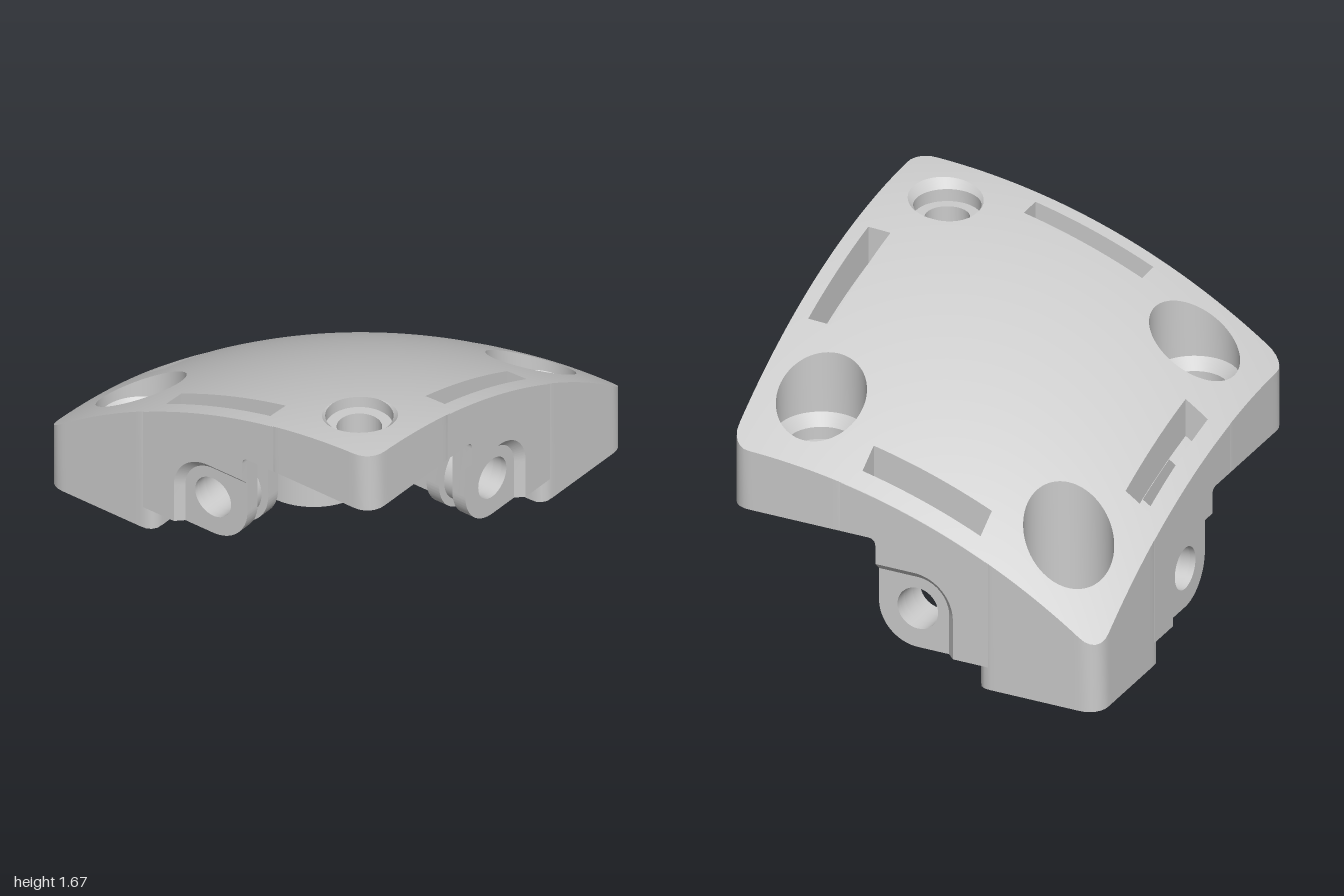
import * as THREE from 'three';
import { toCreasedNormals } from 'three/addons/utils/BufferGeometryUtils.js';

const R = 3.3, STEP = 0.675, SKIN = 0.14, N = 96;
const drop = d => R - Math.sqrt(R * R - d * d);
const slope = d => d / Math.sqrt(R * R - d * d);
// doubly curved top, highest at the front right corner
const surf = (x, z) => 1.67 - drop(x + 1) - drop(1 - z);

const mat = new THREE.MeshStandardMaterial({ color: 0xcccccc });
const matDouble = new THREE.MeshStandardMaterial({ color: 0xcccccc, side: THREE.DoubleSide });

function add(parent, name, geo, material = mat) {
  const mesh = new THREE.Mesh(geo, material);
  mesh.name = name;
  parent.add(mesh);
  return mesh;
}

// move every vertex by a rule, then keep hard edges sharp
function reshape(geo, rule) {
  const p = geo.attributes.position;
  for (let i = 0; i < p.count; i++) p.setXYZ(i, ...rule(p.getX(i), p.getY(i), p.getZ(i)));
  return toCreasedNormals(geo, 0.5);
}

// closed rings of [x, y, z] joined into a surface
function loft(rings, flip = false) {
  const idx = [];
  for (let r = 0; r < rings.length - 1; r++) {
    for (let i = 0; i < N; i++) {
      const j = (i + 1) % N, a = r * N + i, b = r * N + j, c = a + N, d = b + N;
      if (flip) idx.push(a, c, b, c, d, b);
      else idx.push(a, b, c, c, b, d);
    }
  }
  const geo = new THREE.BufferGeometry();
  geo.setAttribute('position', new THREE.Float32BufferAttribute(rings.flat(2), 3));
  geo.setIndex(idx);
  geo.computeVertexNormals();
  return geo;
}

// point lists [x, z] sampled by angle
const angles = Array.from({ length: N }, (_, i) => (i / N) * Math.PI * 2);
const round = (cx, cz, radiusAt) => angles.map(t =>
  [cx + radiusAt(t) * Math.cos(t), cz + radiusAt(t) * Math.sin(t)]);
function rect(cx, cz, hx, hz, radiusAt = () => 0) {
  return angles.map(t => {
    const c = Math.cos(t), s = Math.sin(t), m = Math.max(Math.abs(c), Math.abs(s));
    let x = c / m * hx, z = s / m * hz;
    const r = radiusAt(x, z), dx = Math.abs(x) - hx + r, dz = Math.abs(z) - hz + r;
    if (r > 0 && dx > 0 && dz > 0) {
      const k = r / Math.hypot(dx, dz);
      x = Math.sign(x) * (hx - r + dx * k);
      z = Math.sign(z) * (hz - r + dz * k);
    }
    return [cx + x, cz + z];
  });
}
const lay = (pts, off = 0) => pts.map(([x, z]) => [x, surf(x, z) - off, z]);

// curved sheet between two outlines
function sheet(inner, outer, off, flip) {
  const rings = [];
  for (let k = 0; k <= 8; k++) {
    rings.push(lay(inner.map(([x, z], i) =>
      [x + (outer[i][0] - x) * k / 8, z + (outer[i][1] - z) * k / 8]), off));
  }
  const geo = loft(rings, flip), p = geo.attributes.position, s = flip ? -1 : 1;
  for (let i = 0; i < p.count; i++) {
    const n = new THREE.Vector3(slope(p.getX(i) + 1), 1, -slope(1 - p.getZ(i))).normalize().multiplyScalar(s);
    geo.attributes.normal.setXYZ(i, n.x, n.y, n.z);
  }
  return geo;
}

function corner(parent, sx, sz) {
  const g = new THREE.Group();
  g.name = 'corner';
  parent.add(g);
  const cx = 0.67 * sx, cz = 0.67 * sz;
  const base = 1.67 - STEP * ((sx > 0) + (sz < 0));
  const outward = (x, z) => x * sx > 0 && z * sz > 0;
  const inward = (x, z) => x * sx < 0 && z * sz < 0;
  // where the conical seat meets the skin
  const rim = t => {
    let r = 0.2;
    for (let i = 0; i < 8; i++) {
      const h = surf(cx + r * Math.cos(t), cz + r * Math.sin(t)) - base + 0.055;
      r = Math.min(0.22, 0.165 + Math.max(h, 0));
    }
    return r;
  };
  const tile = rect(cx, cz, 0.33, 0.33, (x, z) => outward(x, z) ? 0.1 : 0);
  add(g, 'cornerSkin', sheet(round(cx, cz, rim), tile, 0, false));
  add(g, 'cornerCeiling', sheet(round(cx, cz, () => 0.23), tile, SKIN, true));

  // open cup under the corner
  const cup = rect(cx, cz, 0.33, 0.33, (x, z) => outward(x, z) ? 0.1 : inward(x, z) ? 0.3 : 0.06);
  const shape = new THREE.Shape(cup.map(([x, z]) => new THREE.Vector2(x, -z)));
  shape.holes.push(new THREE.Path(cup.map(([x, z]) =>
    new THREE.Vector2(cx + (x - cx) * 0.82, -cz - (z - cz) * 0.82)).reverse()));
  const cupGeo = new THREE.ExtrudeGeometry(shape, { depth: 1, bevelEnabled: false }).rotateX(-Math.PI / 2);
  add(g, 'cornerCup', reshape(cupGeo, (x, y, z) => {
    const edge = Math.max(Math.abs(x), Math.abs(z)) > 0.96;
    return [x, y > 0.5 ? surf(x, z) - (edge ? 0 : 0.05) : base - 0.32, z];
  }));

  // screw boss with conical seat; heights over 4 follow the skin
  const profile = [[0.11, -0.31], [0.17, -0.31], [0.17, -0.2], [0.235, -0.2], [0.235, 6], [0.22, 5],
    [0.22, 0], [0.165, -0.055], [0.165, -0.12], [0.11, -0.12], [0.11, -0.31]];
  const boss = new THREE.LatheGeometry(profile.map(([r, y]) => new THREE.Vector2(r, y)), N);
  add(g, 'screwBoss', reshape(boss, (x, y, z) => {
    if (y > -0.01 && y < 5.5) {
      const t = Math.atan2(z, x), r = rim(t);
      x = r * Math.cos(t);
      z = r * Math.sin(t);
    }
    const top = surf(cx + x, cz + z);
    return [cx + x, y > 5.5 ? top - 0.05 : Math.min(base + y, top), cz + z];
  }));

  // ribs between boss and cup
  for (let k = 0; k < 4; k++) {
    const rib = new THREE.BoxGeometry(0.13, 0.11, 0.05).translate(0.22, 0, 0).rotateY(k * Math.PI / 2);
    add(g, 'cupRib', rib).position.set(cx, base - 0.255, cz);
  }
}

// middle tile of each edge, with its slot open to the strap channel
function edgeTile(parent, sx, sz) {
  const cx = 0.67 * sx, cz = 0.67 * sz;
  const tile = rect(cx, cz, sx ? 0.33 : 0.34, sz ? 0.33 : 0.34);
  const slot = rect(0.86 * sx, 0.86 * sz, sx ? 0.06 : 0.32, sz ? 0.06 : 0.32);
  const well = rect(0.84 * sx, 0.84 * sz, sx ? 0.038 : 0.14, sz ? 0.038 : 0.14);
  add(parent, 'edgeSkin', sheet(slot, tile, 0, false));
  add(parent, 'edgeCeiling', sheet(slot, tile, SKIN, true));
  add(parent, 'slotFloor', sheet(well, slot, 0.2, false), matDouble);
  add(parent, 'slotWall', toCreasedNormals(loft([lay(slot, 0.2), lay(slot)]), 0.5), matDouble);
}

// side wall with its hinge lug, drawn along the falling direction
function side(parent, turn, s, drift) {
  const g = new THREE.Group();
  g.name = 'sideWall';
  g.rotation.y = turn;
  g.position.y = drift;
  parent.add(g);
  const CY = 1.005, LOW = CY - 0.21;
  const crest = (shape, lower) => {
    for (let i = 0; i <= 20; i++) {
      const x = 0.4 - 0.8 * i / 20;
      shape.lineTo(x, 1.67 - drop(x + 1) - lower);
    }
  };
  const layer = (name, shape, z0, z1, rule = (x, y, z) => [x, y, z]) => {
    const geo = new THREE.ExtrudeGeometry(shape, { depth: z1 - z0, bevelEnabled: false, curveSegments: 24 });
    add(g, name, reshape(geo, rule)).position.z = s > 0 ? z0 : -z1;
  };
  const start = x => new THREE.Shape().moveTo(x, 1.35).lineTo(-0.25, 1.35)
    .quadraticCurveTo(-0.21, 1.35, -0.21, 1.31);
  const drill = shape => {
    shape.holes.push(new THREE.Path().absarc(0, CY, 0.11, 0, Math.PI * 2, true));
    return shape;
  };
  // rounded lug underside with its pin hole
  const lugged = x => drill(start(x).lineTo(-0.21, CY)
    .absarc(0, CY, 0.21, Math.PI, Math.PI * 1.5, false));

  // face around the lug, with a chamfered recess
  const face = start(-0.4).lineTo(-0.21, CY + 0.21).lineTo(0, CY + 0.21);
  face.absarc(0, CY, 0.21, Math.PI / 2, 0, true);
  face.lineTo(0.21, LOW).lineTo(0.4, LOW);
  crest(face, 0.003);
  layer('outerFace', face, 0.96, 1, (x, y, z) => {
    const q = Math.hypot(Math.max(x, 0), Math.max(y - CY, 0));
    if ((z < 0.02) === (s > 0) && q > 0.2 && q < 0.215) {
      if (x > 0) x *= 0.81;
      if (y > CY) y = CY + (y - CY) * 0.81;
    }
    return [x, y, z];
  });

  // backing wall and inner web, either side of the slot
  const webLower = drift < 0 ? -0.08 : 0.08;
  for (const [name, z0, z1, lower] of [['backingWall', 0.93, 0.96, 0.02], ['innerWeb', 0.72, 0.798, webLower]]) {
    const wall = lugged(-0.34).lineTo(0.4, LOW);
    crest(wall, lower);
    layer(name, wall, z0, z1);
  }

  // hinge lug core, with a strap channel round the pin barrel
  layer('hingeLug', lugged(-0.27).lineTo(0.36, LOW).lineTo(0.36, 1.14), 0.88, 0.93);
  layer('pinBarrel', drill(new THREE.Shape().absarc(0, CY, 0.17, 0, Math.PI * 2, false)), 0.798, 0.88);
  const root = new THREE.Shape().moveTo(0.21, LOW).lineTo(0.36, LOW).lineTo(0.36, 1.14).lineTo(0.21, 1.17);
  layer('lugRoot', root, 0.798, 0.88);
}

export function createModel() {
  const model = new THREE.Group();
  model.name = 'curvedPanel';
  for (const sx of [-1, 1]) for (const sz of [-1, 1]) corner(model, sx, sz);
  for (const [sx, sz] of [[1, 0], [-1, 0], [0, 1], [0, -1]]) edgeTile(model, sx, sz);

  // centre of the skin
  const tile = rect(0, 0, 0.34, 0.34), point = tile.map(() => [0, 0]);
  add(model, 'centreSkin', sheet(point, tile, 0, false));
  add(model, 'centreCeiling', sheet(point, tile, SKIN, true));

  side(model, 0, 1, 0);
  side(model, 0, -1, -STEP);
  side(model, Math.PI / 2, 1, -STEP);
  side(model, Math.PI / 2, -1, 0);

  // ribs and rings that follow the underside
  const drape = (x, y, z) => [x, y + surf(x, z), z];
  for (let k = 0; k < 4; k++) {
    const rib = new THREE.BoxGeometry(k % 2 ? 1.2 : 1.46, 0.16, 0.045, 24, 1, 1)
      .translate(0, -0.2, 0).rotateY(k * Math.PI / 4);
    add(model, 'undersideRib', reshape(rib, drape));
  }
  for (const s of [-1, 1]) {
    const pts = [[0.08, -0.31], [0.115, -0.31], [0.115, -0.12], [0.08, -0.12], [0.08, -0.31]];
    const ring = new THREE.LatheGeometry(pts.map(([r, y]) => new THREE.Vector2(r, y)), 32);
    add(model, 'undersideRing', reshape(ring.translate(0.33 * s, 0, -0.33 * s), drape));
  }
  return model;
}
